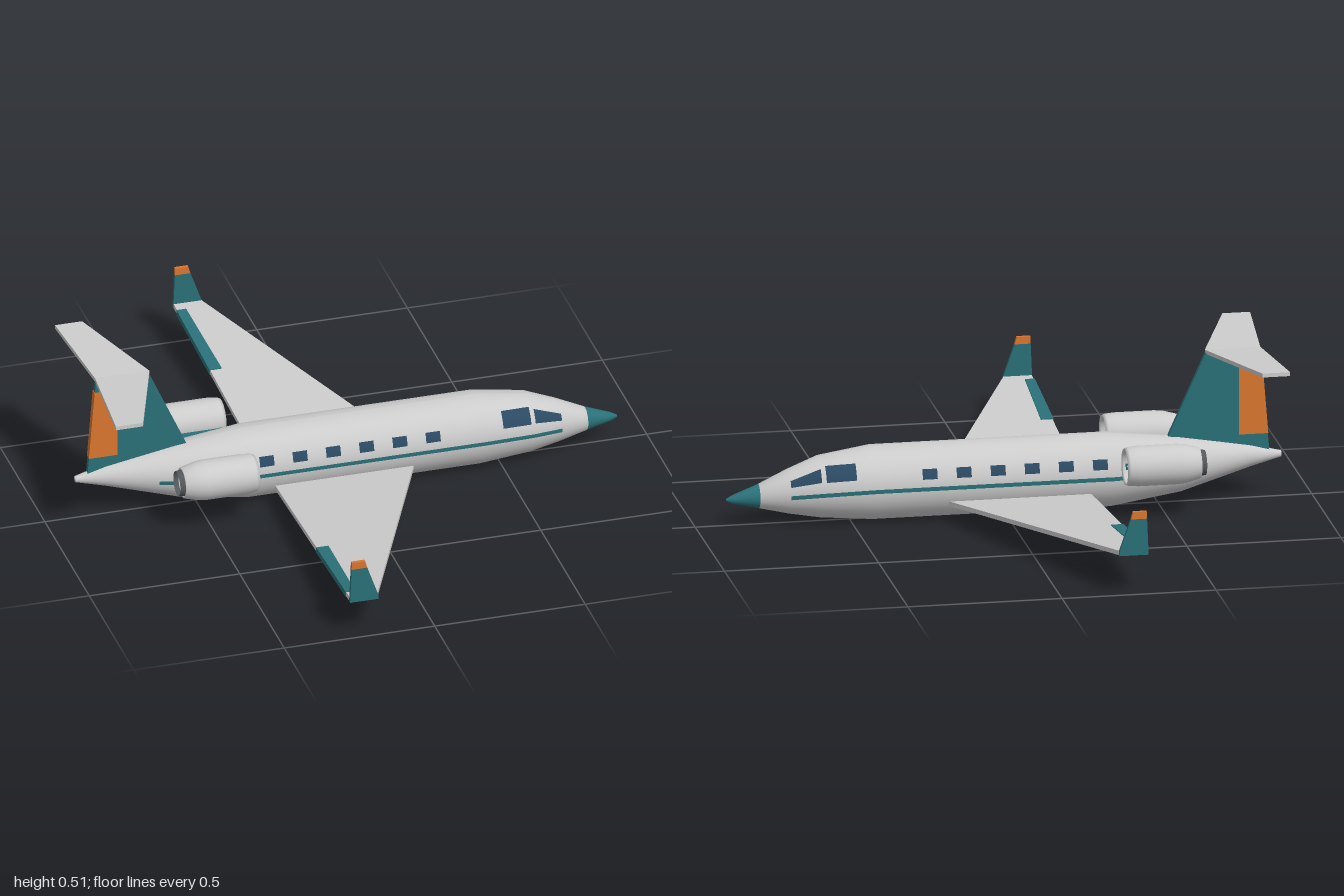
import * as THREE from 'three';

const mat = (color) => new THREE.MeshStandardMaterial({ color, side: THREE.DoubleSide });
const GREY = mat(0xcccccc), TEAL = mat(0x2a7078), ORANGE = mat(0xd9752f), GLASS = mat(0x2b4a63), DARK = mat(0x53585c);
const V = (x, y, z) => new THREE.Vector3(x, y, z);

// fuselage stations: x, centre height, half height, half width
const STATIONS = [
  [-0.9, 0.14, 0.01, 0.01], [-0.8, 0.14, 0.036, 0.034], [-0.57, 0.125, 0.09, 0.085],
  [-0.34, 0.12, 0.12, 0.115], [0.43, 0.12, 0.12, 0.115], [0.6, 0.114, 0.1, 0.095],
  [0.7, 0.103, 0.072, 0.066], [0.795, 0.092, 0.039, 0.037], [0.88, 0.085, 0.014, 0.014], [0.9, 0.084, 0.004, 0.004],
];

function stationAt(x) {
  let i = 0;
  while (i < STATIONS.length - 2 && x > STATIONS[i + 1][0]) i++;
  const a = STATIONS[i], b = STATIONS[i + 1], t = (x - a[0]) / (b[0] - a[0]);
  return a.map((v, k) => v + (b[k] - v) * t);
}

// surface through a grid of points, rows by columns
function gridGeometry(rows, flip = false) {
  const n = rows[0].length, index = [];
  for (let i = 0; i < rows.length - 1; i++) {
    for (let j = 0; j < n - 1; j++) {
      const a = i * n + j, b = a + 1, c = a + n, d = c + 1;
      index.push(...(flip ? [a, b, c, b, d, c] : [a, c, b, b, c, d]));
    }
  }
  const geo = new THREE.BufferGeometry().setFromPoints(rows.flat());
  geo.setIndex(index);
  geo.computeVertexNormals();
  return geo;
}

// lofted elliptical shell with closed ends
function loft(stations) {
  const first = stations[0], last = stations[stations.length - 1];
  const all = [[first[0], first[1], 0, 0], ...stations, [last[0], last[1], 0, 0]];
  return gridGeometry(all.map(([x, y, ry, rz]) => Array.from({ length: 41 }, (_, j) => {
    const a = (j / 40) * Math.PI * 2;
    return V(x, y + ry * Math.cos(a), rz * Math.sin(a));
  })));
}

// quad [x, y] corners (bottom rear, bottom front, top front, top rear) laid on the fuselage side
function sidePatch(corners, side, nx, ny) {
  const [p, q, r, s] = corners, mix = THREE.MathUtils.lerp, rows = [];
  for (let j = 0; j <= ny; j++) {
    const row = [];
    for (let i = 0; i <= nx; i++) {
      const u = i / nx, v = j / ny;
      const x = mix(mix(p[0], q[0], u), mix(s[0], r[0], u), v);
      const y = mix(mix(p[1], q[1], u), mix(s[1], r[1], u), v);
      const [, cy, ry, rz] = stationAt(x);
      const a = Math.asin(THREE.MathUtils.clamp((y - cy) / ry, -1, 1));
      row.push(V(x, cy + (ry + 0.002) * Math.sin(a), side * ((rz + 0.002) * Math.cos(a))));
    }
    rows.push(row);
  }
  return gridGeometry(rows, side > 0);
}

// flat-sided plate: convex outline swept along an offset
function plate(points, offset) {
  const normal = points[1].clone().sub(points[0]).cross(points[2].clone().sub(points[0]));
  const lo = normal.dot(offset) > 0 ? points : [...points].reverse();
  const hi = lo.map((p) => p.clone().add(offset)), n = lo.length, out = [];
  for (let i = 0; i < n; i++) {
    const k = (i + 1) % n;
    out.push(lo[i], lo[k], hi[k], lo[i], hi[k], hi[i]);
    if (i > 0 && i < n - 1) out.push(hi[0], hi[i], hi[i + 1], lo[0], lo[i + 1], lo[i]);
  }
  const geo = new THREE.BufferGeometry().setFromPoints(out);
  geo.computeVertexNormals();
  return geo;
}

// upright plate from an [x, y] outline, centred on z
const upright = (outline, z, t) => plate(outline.map(([x, y]) => V(x, y, z - t / 2)), V(0, 0, t));

export function createModel() {
  const group = new THREE.Group();
  const add = (name, geo, material, parent = group) => {
    const mesh = new THREE.Mesh(geo, material);
    mesh.name = name;
    parent.add(mesh);
    return mesh;
  };

  // body
  add('fuselage', loft(STATIONS.slice(0, 8)), GREY);
  add('noseCone', loft(STATIONS.slice(7)), TEAL);

  // tail
  add('tailFin', upright([[-0.862, 0.14], [-0.5, 0.14], [-0.54, 0.235], [-0.655, 0.49], [-0.833, 0.49]], 0, 0.018), TEAL);
  add('rudder', upright([[-0.857, 0.213], [-0.762, 0.213], [-0.762, 0.45], [-0.838, 0.45]], 0, 0.023), ORANGE);

  for (const s of [1, -1]) {
    const label = s > 0 ? 'left' : 'right';

    // wing with dihedral, aileron and winglet
    const wingY = (z) => 0.047 + 0.084 * z;
    const wp = (x, z, dy = 0) => V(x, wingY(z) + dy, s * z);
    add(label + 'Wing', plate([wp(0.222, 0.04), wp(-0.19, 0.995), wp(-0.28, 0.995), wp(-0.264, 0.04)], V(0, 0.015, 0)), GREY);
    add(label + 'Aileron', plate([wp(-0.235, 0.6, -0.001), wp(-0.25, 0.95, -0.001), wp(-0.282, 0.95, -0.001), wp(-0.276, 0.6, -0.001)],
      V(0, 0.019, 0)), TEAL);
    add(label + 'Winglet', upright([[-0.281, 0.13], [-0.187, 0.13], [-0.187, 0.145], [-0.224, 0.25], [-0.276, 0.25]], s * 0.994, 0.012), TEAL);
    add(label + 'WingletTip', upright([[-0.276, 0.25], [-0.224, 0.25], [-0.231, 0.274], [-0.275, 0.274]], s * 0.994, 0.012), ORANGE);

    // tailplane half
    add(label + 'Tailplane', plate([V(-0.653, 0.485, 0), V(-0.775, 0.499, s * 0.343), V(-0.865, 0.499, s * 0.343), V(-0.833, 0.485, 0)],
      V(0, 0.013, 0)), GREY);

    // engine pylon
    add(label + 'Pylon', plate([V(-0.37, 0.158, s * 0.07), V(-0.37, 0.158, s * 0.15), V(-0.55, 0.158, s * 0.15), V(-0.55, 0.158, s * 0.07)],
      V(0, 0.018, 0)), TEAL);

    // engine, built along y then laid along x
    const engine = new THREE.Group();
    engine.name = label + 'Engine';
    engine.position.set(-0.485, 0.181, s * 0.19);
    engine.rotation.z = -Math.PI / 2;
    group.add(engine);
    const profile = [[0.036, -0.1], [0.042, -0.115], [0.05, -0.115], [0.062, -0.07], [0.065, -0.04], [0.065, 0.085],
      [0.062, 0.118], [0.058, 0.128], [0.053, 0.122], [0.052, 0.095]];
    add('nacelle', new THREE.LatheGeometry(profile.map(([r, y]) => new THREE.Vector2(r, y)), 32), GREY, engine);
    add('exhaustNozzle', new THREE.CylinderGeometry(0.046, 0.04, 0.035, 32, 1, true), DARK, engine).position.y = -0.115;
    add('exhaustPlug', new THREE.CylinderGeometry(0.044, 0.044, 0.006, 32), DARK, engine).position.y = -0.108;
    add('fanDisc', new THREE.CylinderGeometry(0.053, 0.053, 0.006, 32), DARK, engine).position.y = 0.095;
    add('spinner', new THREE.ConeGeometry(0.014, 0.025, 20), GREY, engine).position.y = 0.11;
    for (let i = 0; i < 16; i++) {
      const a = (i / 16) * Math.PI * 2;
      const blade = add('fanBlade', new THREE.BoxGeometry(0.04, 0.004, 0.008), GREY, engine);
      blade.position.set(0.031 * Math.cos(a), 0.1, -0.031 * Math.sin(a));
      blade.rotation.y = a;
    }

    // cabin windows
    for (let i = 0; i < 6; i++) {
      const x = -0.294 + i * 0.1105, w = 0.024;
      add(label + 'CabinWindow', sidePatch([[x - w, 0.15], [x + w, 0.15], [x + w, 0.181], [x - w, 0.181]], s, 2, 4), GLASS);
    }

    // cockpit windows
    add(label + 'CockpitSideWindow', sidePatch([[0.494, 0.156], [0.59, 0.15], [0.59, 0.196], [0.494, 0.203]], s, 8, 8), GLASS);
    add(label + 'Windshield', sidePatch([[0.605, 0.15], [0.7, 0.131], [0.7, 0.15], [0.605, 0.188]], s, 8, 8), GLASS);

    // cheat line along the side, dipping towards the nose
    const line = [[-0.64, 0.121], [-0.57, 0.119], [-0.34, 0.119], [0.43, 0.119], [0.6, 0.11], [0.7, 0.099]];
    for (let i = 0; i < line.length - 1; i++) {
      const [a, b] = [line[i], line[i + 1]], h = 0.0065;
      add(label + 'SideStripe', sidePatch([[a[0], a[1] - h], [b[0], b[1] - h], [b[0], b[1] + h], [a[0], a[1] + h]], s, 4, 2), TEAL);
    }
  }
  return group;
}
